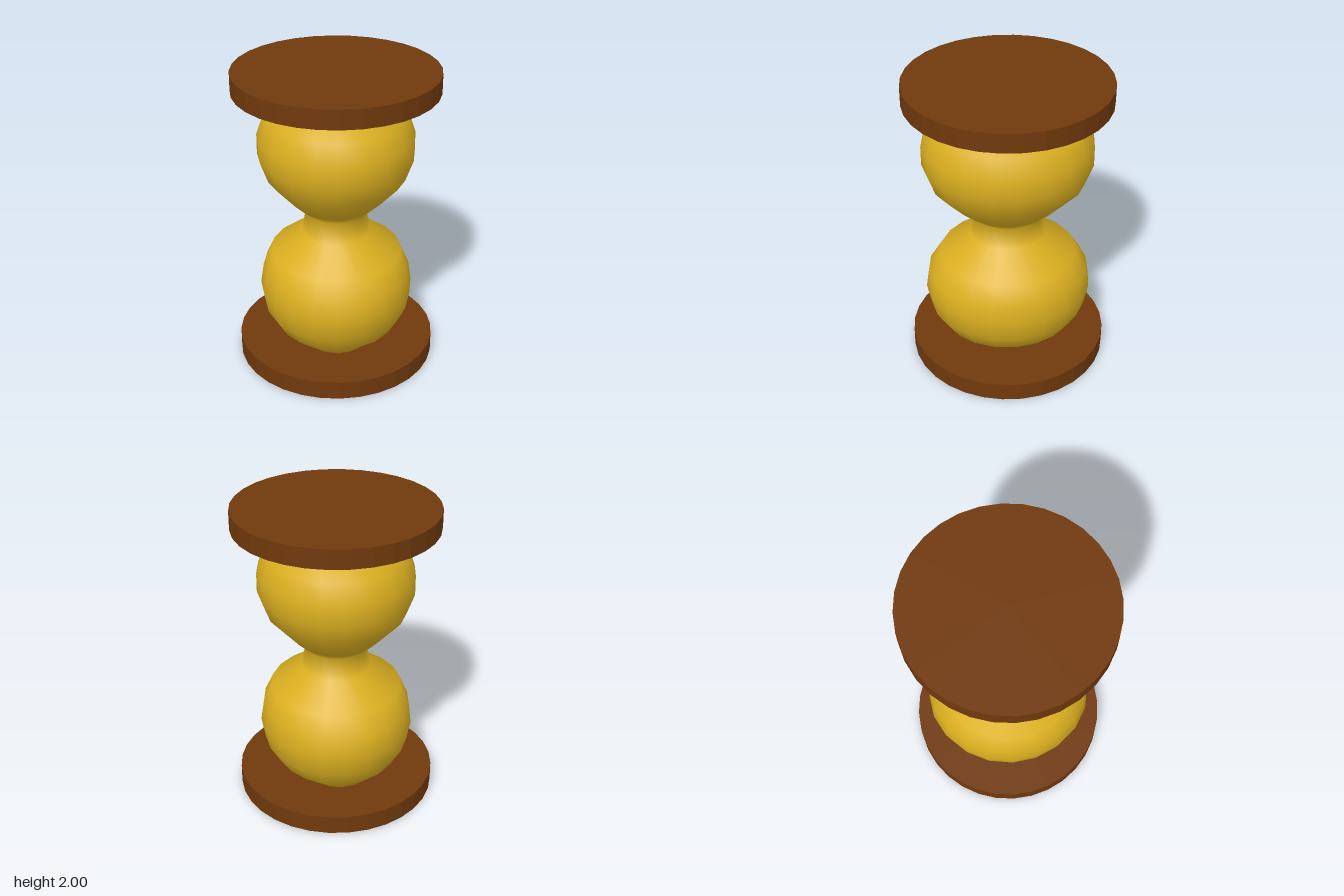
import * as THREE from 'three';
import { mergeVertices } from 'three/addons/utils/BufferGeometryUtils.js';

const WOOD = new THREE.MeshStandardMaterial({ color: 0x70390c });
const SAND = new THREE.MeshStandardMaterial({ color: 0xdcb020 });

// Rings of the bulbs from bottom to top: [height, half width in x, half depth in z]
const RINGS = [
  [0.13, 0, 0], [0.152, 0.26, 0.37], [0.235, 0.41, 0.45], [0.36, 0.482, 0.525],
  [0.5, 0.506, 0.553], [0.635, 0.485, 0.533], [0.76, 0.43, 0.45], [0.905, 0.226, 0.25],
  [1.04, 0.196, 0.212], [1.11, 0.27, 0.295], [1.17, 0.325, 0.37], [1.31, 0.452, 0.498],
  [1.45, 0.502, 0.548], [1.58, 0.502, 0.548], [1.715, 0.455, 0.5], [1.852, 0.338, 0.37],
  [1.862, 0, 0],
];

function createPlate(name, bottom) {
  const plate = new THREE.Mesh(new THREE.CylinderGeometry(0.655, 0.655, 0.125, 32), WOOD);
  plate.material.flatShading = true;
  plate.name = name;
  plate.position.y = bottom + 0.0625;
  return plate;
}

function createBulbs() {
  const profile = RINGS.map(([y, , rz]) => new THREE.Vector2(rz, y));
  let geometry = new THREE.LatheGeometry(profile, 20);
  // Narrow each ring in x to make it oval
  const p = geometry.attributes.position;
  for (let i = 0; i < p.count; i++) {
    const [, rx, rz] = RINGS[i % RINGS.length];
    if (rz > 0) p.setX(i, p.getX(i) * rx / rz);
  }
  // Weld the seam so the shading is smooth all round
  geometry.deleteAttribute('uv');
  geometry.deleteAttribute('normal');
  geometry = mergeVertices(geometry, 1e-4);
  geometry.computeVertexNormals();
  const bulbs = new THREE.Mesh(geometry, SAND);
  bulbs.name = 'glassBulbs';
  return bulbs;
}

export function createModel() {
  const group = new THREE.Group();
  group.name = 'hourglass';
  group.add(createPlate('basePlate', 0), createBulbs(), createPlate('topPlate', 1.875));
  return group;
}
